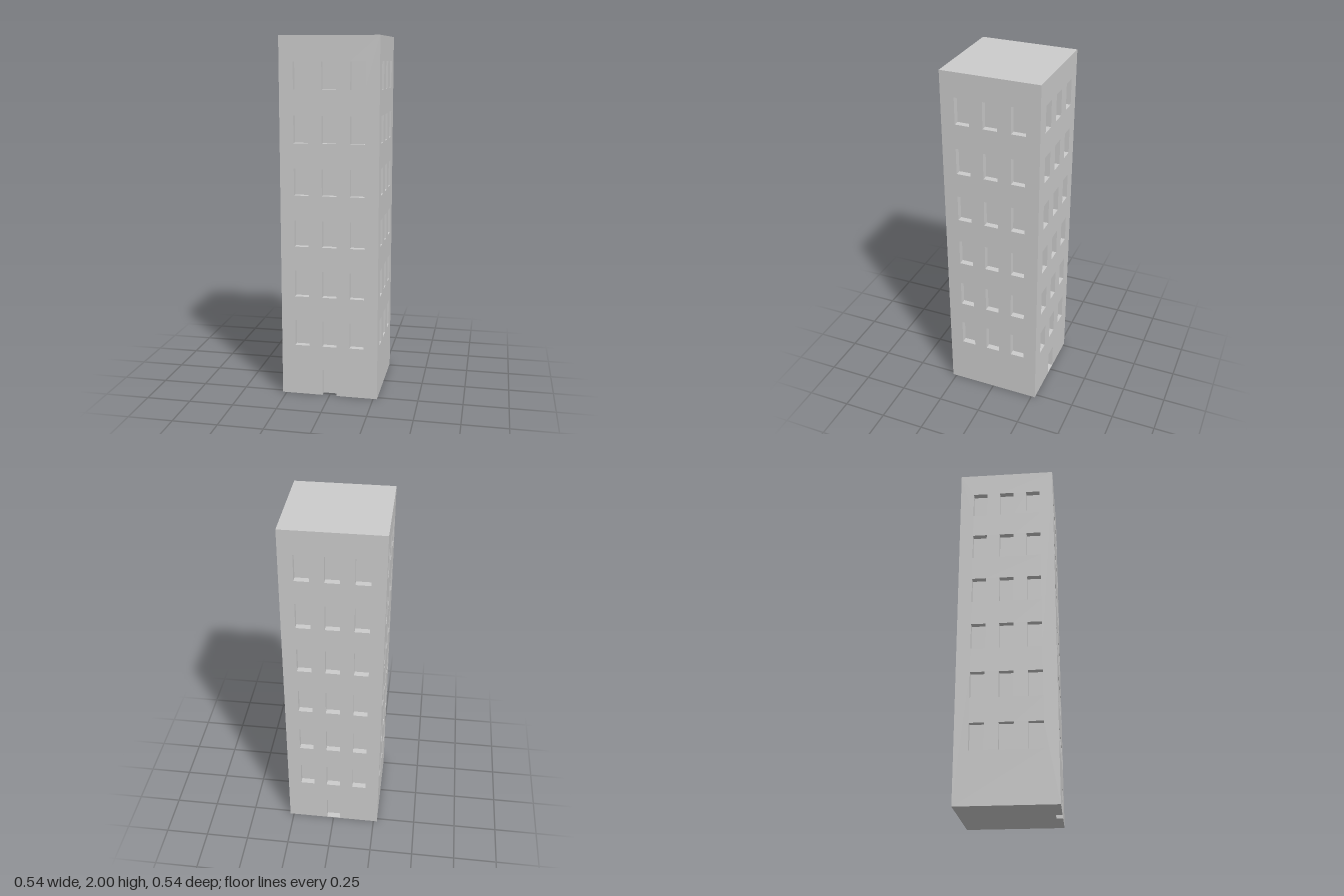
import * as THREE from 'three';
import { mergeGeometries } from 'three/addons/utils/BufferGeometryUtils.js';

const HALF = 0.272;          // half the tower's width and depth
const HEIGHT = 2;
const STOREY = HEIGHT / 7;
const OPEN_W = 0.08, OPEN_H = 0.148, SILL = 0.003;
const RECESS = 0.035;
const COLUMNS = [-0.155, 0, 0.155];

const material = new THREE.MeshStandardMaterial({ color: 0xcccccc, flatShading: true });

function addMesh(parent, name, geometry) {
  const mesh = new THREE.Mesh(geometry, material);
  mesh.name = name;
  parent.add(mesh);
  return mesh;
}

function rectangle(target, x0, y0, x1, y1) {
  target.moveTo(x0, y0).lineTo(x1, y0).lineTo(x1, y1).lineTo(x0, y1).closePath();
  return target;
}

// Pane and reveals of an opening; bottom centre of its mouth at the origin, facing +z
function recessGeometry(height, withFloor) {
  const w = OPEN_W, d = RECESS;
  const planes = [
    new THREE.PlaneGeometry(w, height).translate(0, height / 2, -d),
    new THREE.PlaneGeometry(d, height).rotateY(Math.PI / 2).translate(-w / 2, height / 2, -d / 2),
    new THREE.PlaneGeometry(d, height).rotateY(-Math.PI / 2).translate(w / 2, height / 2, -d / 2),
    new THREE.PlaneGeometry(w, d).rotateX(Math.PI / 2).translate(0, height, -d / 2),
  ];
  if (withFloor) planes.push(new THREE.PlaneGeometry(w, d).rotateX(-Math.PI / 2).translate(0, 0, -d / 2));
  return mergeGeometries(planes);
}

// One side of the tower, facing +z; door is 'none', 'sill' or 'open' (cut down to the ground)
function createFacade(name, door) {
  const facade = new THREE.Group();
  facade.name = name;
  const w = OPEN_W / 2;
  const doorTop = SILL + OPEN_H;

  const wall = new THREE.Shape();
  wall.moveTo(-HALF, 0);
  if (door === 'open') wall.lineTo(-w, 0).lineTo(-w, doorTop).lineTo(w, doorTop).lineTo(w, 0);
  wall.lineTo(HALF, 0).lineTo(HALF, HEIGHT).lineTo(-HALF, HEIGHT).closePath();
  if (door === 'sill') wall.holes.push(rectangle(new THREE.Path(), -w, SILL, w, doorTop));

  // Six storeys of three windows
  const windowGeometry = recessGeometry(OPEN_H, true);
  for (let storey = 1; storey <= 6; storey++) {
    const y = storey * STOREY + SILL;
    for (const x of COLUMNS) {
      wall.holes.push(rectangle(new THREE.Path(), x - w, y, x + w, y + OPEN_H));
      addMesh(facade, 'window', windowGeometry).position.set(x, y, HALF);
    }
  }

  // Doorway
  if (door === 'open') addMesh(facade, 'door', recessGeometry(doorTop, false)).position.set(0, 0, HALF);
  if (door === 'sill') addMesh(facade, 'door', windowGeometry).position.set(0, SILL, HALF);

  addMesh(facade, 'wall', new THREE.ShapeGeometry(wall)).position.z = HALF;
  return facade;
}

export function createModel() {
  const tower = new THREE.Group();
  tower.name = 'towerBlock';

  // Four facades turned around the vertical axis
  const sides = [['front', 'open'], ['leftSide', 'none'], ['back', 'sill'], ['rightSide', 'none']];
  sides.forEach(([name, door], i) => {
    const facade = createFacade(name, door);
    facade.rotation.y = i * Math.PI / 2;
    tower.add(facade);
  });

  // Flat roof
  addMesh(tower, 'roof', new THREE.PlaneGeometry(2 * HALF, 2 * HALF).rotateX(-Math.PI / 2)).position.y = HEIGHT;

  // Underside, notched at the front doorway
  const w = OPEN_W / 2;
  const base = new THREE.Shape();
  base.moveTo(-HALF, -HALF).lineTo(HALF, -HALF).lineTo(HALF, HALF)
    .lineTo(w, HALF).lineTo(w, HALF - RECESS).lineTo(-w, HALF - RECESS).lineTo(-w, HALF)
    .lineTo(-HALF, HALF).closePath();
  addMesh(tower, 'base', new THREE.ShapeGeometry(base).rotateX(Math.PI / 2));

  return tower;
}
